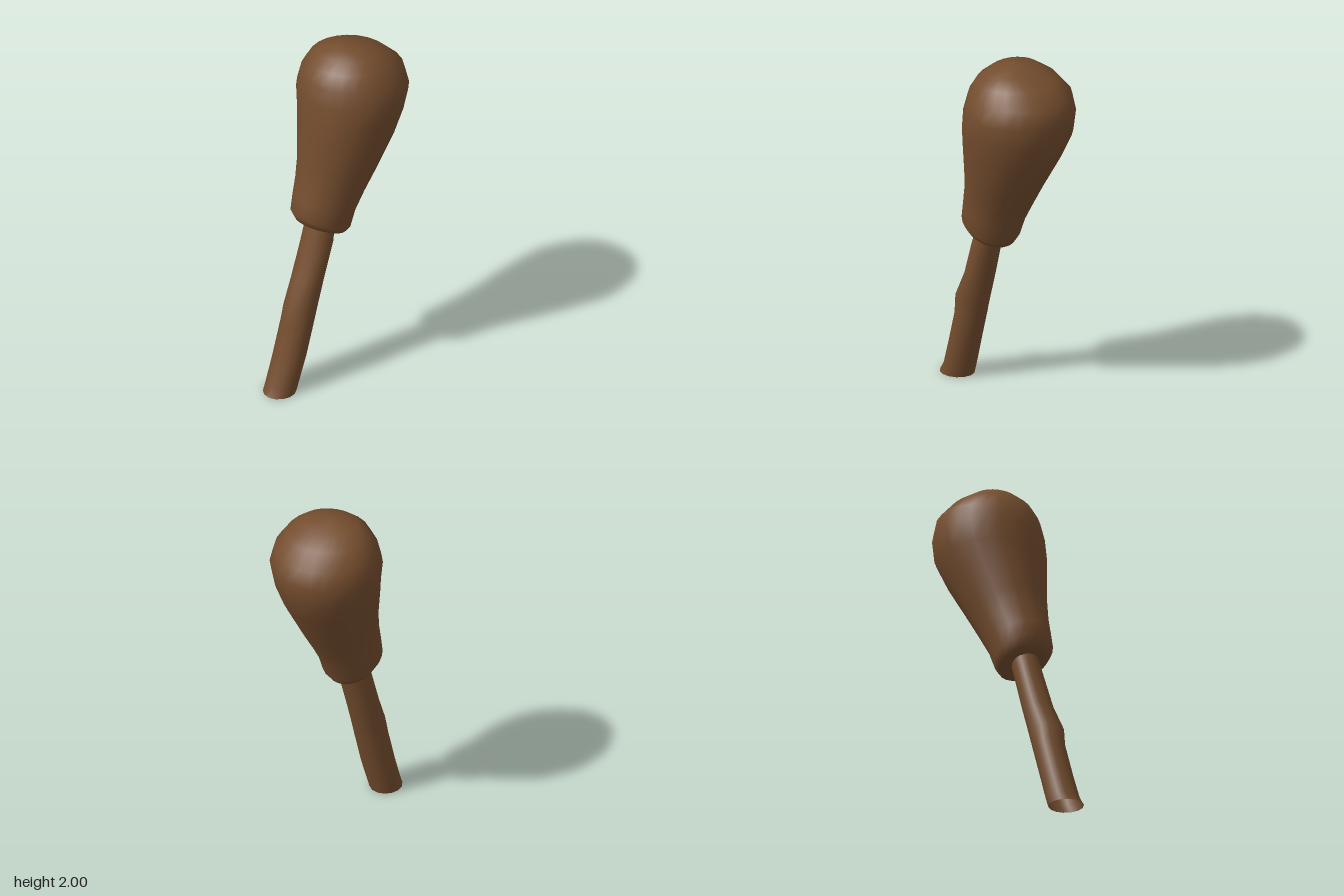
import * as THREE from 'three';

// Skin a stack of tilted elliptical rings, listed from bottom to top.
// Ring: [y, minX, maxX, minZ, maxZ, slopeX, slopeZ]
function loft(rings, sides) {
  const positions = [], index = [];
  rings.forEach(([y, x0, x1, z0, z1, sx = 0, sz = 0], i) => {
    for (let j = 0; j < sides; j++) {
      const a = (j / sides) * Math.PI * 2;
      const dx = Math.cos(a) * (x1 - x0) / 2;
      const dz = Math.sin(a) * (z1 - z0) / 2;
      positions.push((x0 + x1) / 2 + dx, y + sx * dx + sz * dz, (z0 + z1) / 2 + dz);
      if (i === 0) continue;
      const k = (j + 1) % sides, lo = (i - 1) * sides, hi = i * sides;
      index.push(lo + j, hi + j, lo + k, lo + k, hi + j, hi + k);
    }
  });
  const g = new THREE.BufferGeometry();
  g.setAttribute('position', new THREE.Float32BufferAttribute(positions, 3));
  g.setIndex(index);
  g.computeVertexNormals();
  return g;
}

export function createModel() {
  const group = new THREE.Group();
  const wood = new THREE.MeshStandardMaterial({ color: 0x744d2e, side: THREE.DoubleSide });
  wood.name = 'brown wood';

  const add = (name, rings, sides) => {
    const mesh = new THREE.Mesh(loft(rings, sides), wood);
    mesh.name = name;
    group.add(mesh);
  };

  // Bulbous head: tilted collar at the bottom, swelling to a rounded crown
  add('head', [
    [0.935, -0.086, -0.084, 0.079, 0.081, -0.15, 0.37],
    [0.935, -0.19, 0.02, -0.03, 0.19, -0.15, 0.37],
    [0.945, -0.22, 0.055, -0.058, 0.22, -0.16, 0.37],
    [0.985, -0.247, 0.083, -0.08, 0.24, -0.17, 0.37],
    [1.08, -0.246, 0.1, -0.118, 0.225, -0.15, 0.3],
    [1.18, -0.246, 0.132, -0.175, 0.205, -0.12, 0.25],
    [1.3, -0.252, 0.177, -0.245, 0.19, -0.1, 0.2],
    [1.5, -0.28, 0.25, -0.37, 0.18, -0.05, 0.1],
    [1.62, -0.293, 0.285, -0.44, 0.175],
    [1.74, -0.309, 0.307, -0.453, 0.16],
    [1.84, -0.285, 0.28, -0.432, 0.135],
    [1.92, -0.235, 0.22, -0.345, 0.088],
    [1.97, -0.17, 0.15, -0.235, 0.025],
    [1.994, -0.09, 0.06, -0.165, -0.045],
    [2.0, -0.031, -0.029, -0.106, -0.104],
  ], 24);

  // Slanted stick, open at the foot and sunk into the collar
  add('stick', [
    [0, -0.28, -0.1, 0.26, 0.456],
    [0.05, -0.275, -0.094, 0.245, 0.43],
    [0.2, -0.256, -0.07, 0.205, 0.385],
    [0.4, -0.234, -0.048, 0.152, 0.332],
    [0.5, -0.222, -0.036, 0.125, 0.322],
    [0.65, -0.204, -0.022, 0.085, 0.256],
    [0.85, -0.18, 0.004, 0.034, 0.194],
    [1.02, -0.16, 0.0, -0.01, 0.145],
  ], 14);

  return group;
}
